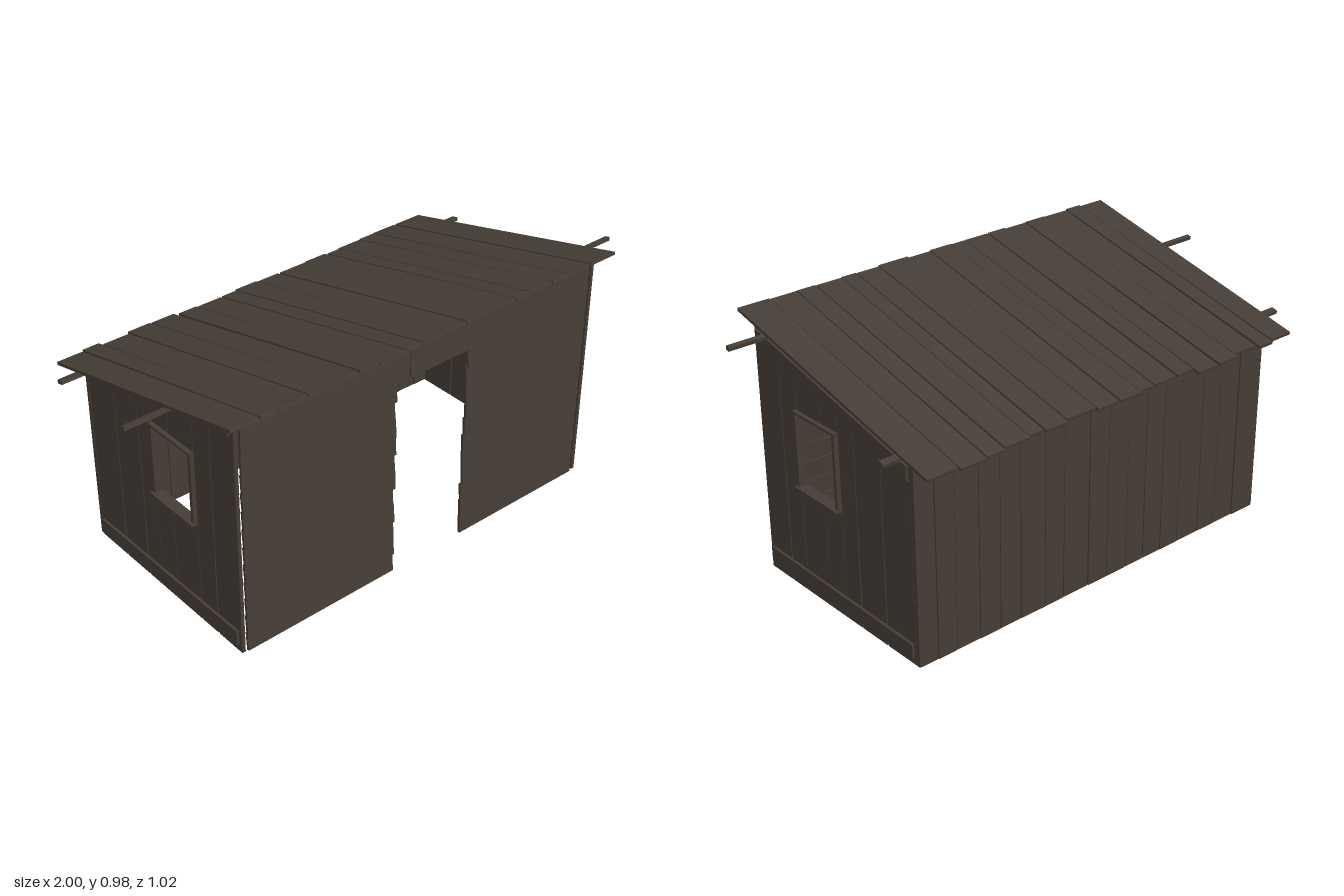
import * as THREE from 'three';

export function createModel() {
  const shed = new THREE.Group();
  shed.name = 'shed';
  const wood = new THREE.MeshStandardMaterial({ color: 0x453d35 });
  wood.name = 'weathered wood';

  let seed = 7;
  const jitter = (amount) => {
    seed = (seed * 16807) % 2147483647;
    return (seed / 2147483647 - 0.5) * 2 * amount;
  };

  const group = (name, parent = shed) => {
    const g = new THREE.Group();
    g.name = name;
    parent.add(g);
    return g;
  };
  const add = (geometry, name, parent) => {
    const mesh = new THREE.Mesh(geometry, wood);
    mesh.name = name;
    parent.add(mesh);
    return mesh;
  };
  const box = (name, parent, w, h, d, x, y, z) => {
    const mesh = add(new THREE.BoxGeometry(w, h, d), name, parent);
    mesh.position.set(x, y, z);
    return mesh;
  };
  // Board cut from a flat outline, centred on its thickness
  const board = (points, thickness) => {
    const shape = new THREE.Shape(points.map(([a, b]) => new THREE.Vector2(a, b)));
    return new THREE.ExtrudeGeometry(shape, { depth: thickness, bevelEnabled: false })
      .translate(0, 0, -thickness / 2);
  };
  // Same, with the outline given in z and y
  const sideBoard = (points, thickness, x) =>
    board(points, thickness).rotateY(-Math.PI / 2).translate(x, 0, 0);

  const slope = 0.25;
  const wallTop = (z) => 0.838 + slope * z;

  // Side walls: upright boards under the slope, with a window and two rails
  const sideEdges = [-0.404, -0.25, -0.11, -0.025, 0.07, 0.208, 0.3, 0.43];
  const gaps = [0, 0.003, 0.003, 0.001, 0.001, 0.0015, 0.003, 0];
  for (const [label, outer, dir] of [['left', 0.848, 1], ['right', -0.776, -1]]) {
    const wall = group(label + 'Wall');
    const x = outer - dir * 0.008;
    for (let i = 0; i < sideEdges.length - 1; i++) {
      const a = sideEdges[i], b = sideEdges[i + 1];
      const piece = (y0, top) => add(sideBoard([
        [a + gaps[i], y0], [b - gaps[i + 1], y0], [b - 0.0007, top(b)], [a + 0.0007, top(a)],
      ], 0.014, x), 'sideBoard', wall);
      if (i === 3 || i === 4) {
        piece(0, () => 0.42);
        piece(0.7, wallTop);
      } else piece(0, wallTop);
    }
    // Rails
    const rx = outer + dir * 0.004;
    add(sideBoard([[-0.395, 0.026], [0.415, 0.032], [0.415, 0.09], [-0.395, 0.08]], 0.01, rx),
      'bottomRail', wall);
    add(sideBoard([[-0.395, 0.682], [0.412, 0.88], [0.412, 0.936], [-0.395, 0.738]], 0.01, rx),
      'topRail', wall);
    // Window frame
    const frame = group('windowFrame', wall);
    box('windowSill', frame, 0.044, 0.008, 0.24, outer + dir * 0.004, 0.42, 0.092);
    box('windowHead', frame, 0.032, 0.008, 0.235, outer, 0.703, 0.092);
    for (const z of [0.203, -0.017]) {
      box('windowJamb', frame, 0.03, 0.28, 0.014, outer, 0.56, z);
    }
  }

  // Back wall: upright boards of uneven width
  const back = group('backWall');
  const backEdges = [-0.776, -0.66, -0.56, -0.47, -0.36, -0.27, -0.18, -0.092, 0.004,
    0.095, 0.212, 0.3, 0.41, 0.5, 0.59, 0.69, 0.77, 0.85];
  for (let i = 0; i < backEdges.length - 1; i++) {
    const a = backEdges[i], b = backEdges[i + 1], top = 0.735 + jitter(0.003);
    const g = board([
      [a + 0.001 + Math.abs(jitter(0.002)), 0], [b - 0.001 - Math.abs(jitter(0.002)), 0],
      [b - 0.001, top], [a + 0.001, top],
    ], 0.015);
    add(g, 'backBoard', back).position.z = -0.4145 + jitter(0.003);
  }

  // Front wall: overlapping tilted boards around a doorway
  const front = group('frontWall');
  const rows = 13, pitch = 0.0724;
  for (let r = 0; r < rows; r++) {
    const spans = r < rows - 2
      ? [[-0.752, -0.104 + jitter(0.005)], [0.226 + jitter(0.005), 0.82]]
      : [[-0.752, -0.047], [-0.043, 0.82]];
    for (const [a, b] of spans) {
      const mesh = box('frontBoard', front, b - a, pitch + 0.002, 0.01,
        (a + b) / 2, (r + 0.5) * pitch + 0.001, 0.428);
      mesh.rotation.x = -0.07 + jitter(0.015);
    }
  }

  // Roof: planks sloping down to the back, with ragged lower ends
  const roof = group('roof');
  const roofEdges = [-0.842, -0.73, -0.655, -0.54, -0.44, -0.335, -0.25, -0.14, -0.07,
    0.03, 0.13, 0.265, 0.365, 0.43, 0.54, 0.62, 0.73, 0.86];
  const stretch = Math.hypot(1, slope);
  for (let i = 0; i < roofEdges.length - 1; i++) {
    const a = roofEdges[i], b = roofEdges[i + 1];
    const upper = 0.508 + jitter(0.003), lower = -0.498 + jitter(0.013);
    const g = board([
      [a + 0.0015, -upper * stretch], [b - 0.0015, -upper * stretch],
      [b - 0.001 - Math.abs(jitter(0.004)), -lower * stretch],
      [a + 0.001 + Math.abs(jitter(0.004)), -lower * stretch],
    ], 0.011);
    const mesh = add(g, 'roofPlank', roof);
    mesh.rotation.x = -Math.PI / 2 - Math.atan(slope);
    mesh.position.y = 0.849 + jitter(0.002);
  }

  // Poles under the roof, sticking out past its ends
  const poles = group('roofPoles');
  const pole = (x0, x1, y, z, d) => {
    const mesh = box('roofPole', poles, x1 - x0, 0.014, d, (x0 + x1) / 2, y, z);
    mesh.rotation.x = -Math.atan(slope);
  };
  pole(-0.79, 1.0, 0.925, 0.355, 0.018);
  pole(-1.0, 0.85, 0.878, 0.165, 0.018);
  pole(-0.914, 0.922, 0.75, -0.357, 0.026);

  return shed;
}
